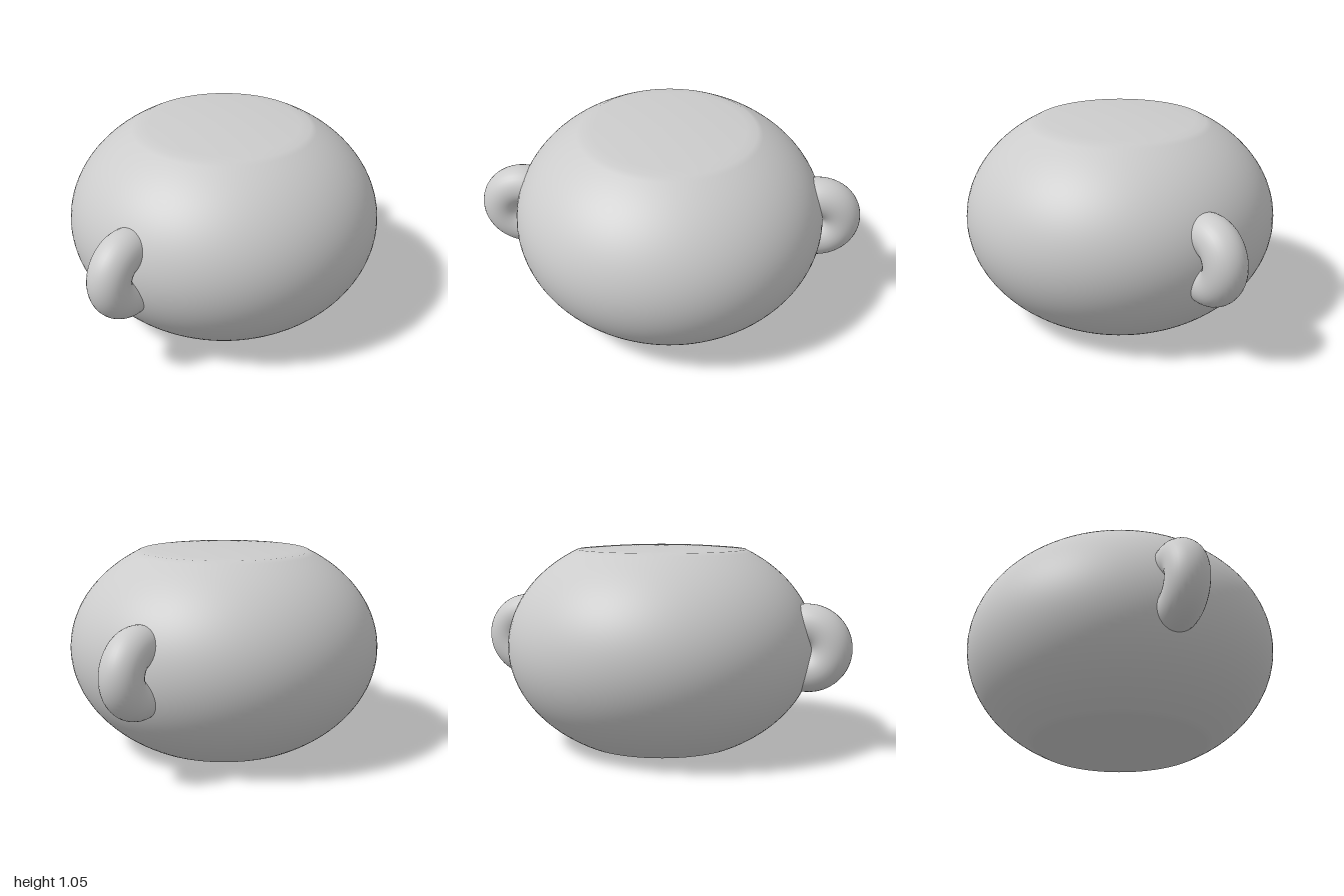
import * as THREE from 'three';

export function createModel() {
  const group = new THREE.Group();
  const material = new THREE.MeshStandardMaterial({ color: 0xcccccc });
  const midY = 0.525;

  // Pot body: a squashed ball with shallow domed caps at both ends
  const a = 0.805, b = 0.6, rim = 0.44, rimY = b * Math.sqrt(1 - (rim / a) ** 2);
  const upper = [];
  const rimAngle = Math.asin(rimY / b);
  for (let i = 0; i <= 24; i++) {
    const t = (i / 24) * rimAngle;
    upper.push([a * Math.cos(t), b * Math.sin(t)]);
  }
  for (let i = 1; i <= 8; i++) {
    const r = rim * (1 - i / 8);
    upper.push([r, rimY + (0.523 - rimY) * (1 - (r / rim) ** 2)]);
  }
  const lower = upper.slice(1).reverse().map(([r, y]) => [r, -y]);
  const profile = [...lower, ...upper].map(([r, y]) => new THREE.Vector2(r, midY + y));
  const body = new THREE.Mesh(new THREE.LatheGeometry(profile, 96), material);
  body.name = 'body';
  group.add(body);

  // Ring handles sunk halfway into the sides
  for (const side of [1, -1]) {
    const handle = new THREE.Mesh(new THREE.TorusGeometry(0.12, 0.105, 32, 64), material);
    handle.name = side > 0 ? 'leftHandle' : 'rightHandle';
    handle.position.set(side * 0.775, 0.54, 0);
    group.add(handle);
  }
  return group;
}
